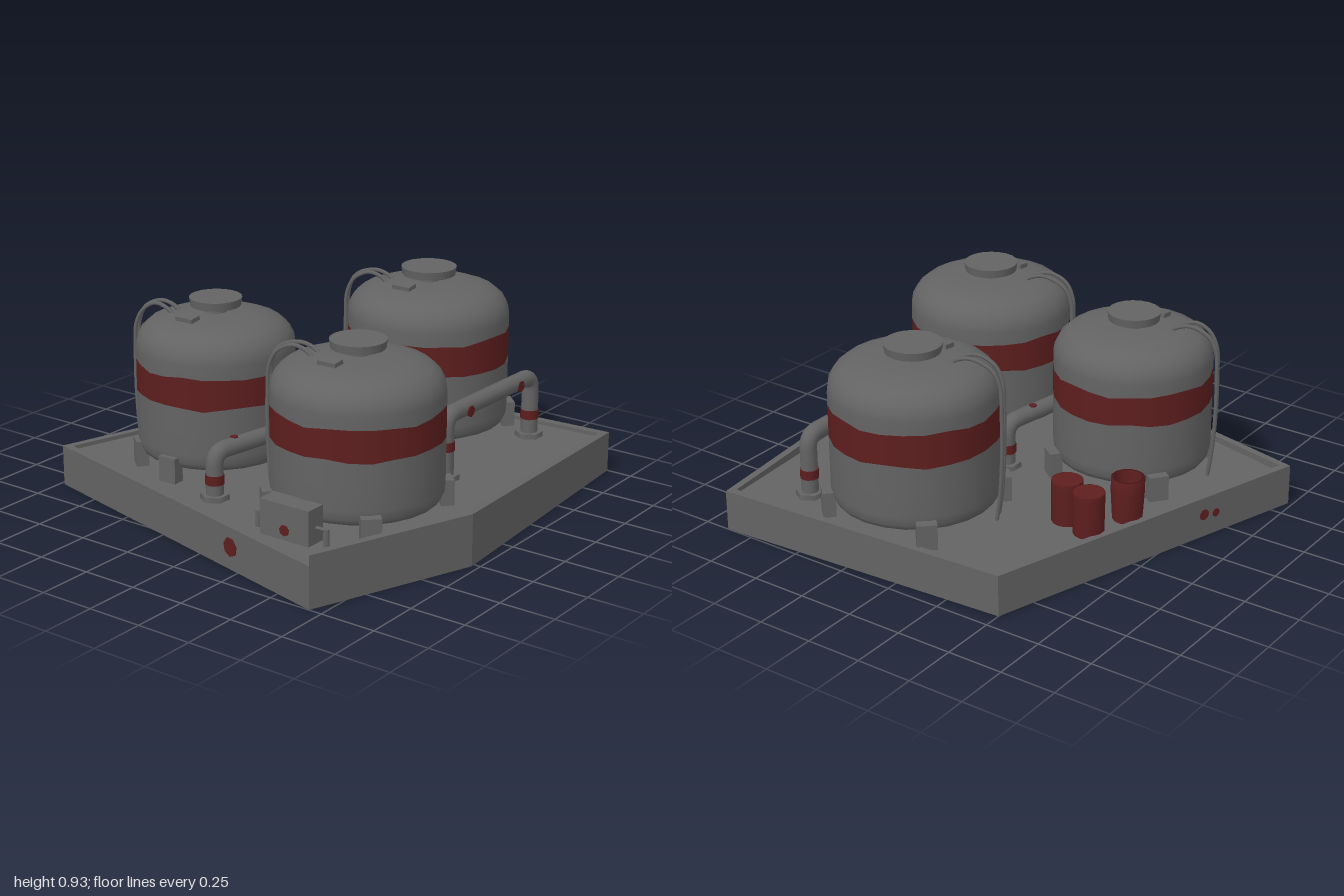
import * as THREE from 'three';

const gray = new THREE.MeshStandardMaterial({ color: 0x636363 });
gray.name = 'steel gray';
const red = new THREE.MeshStandardMaterial({ color: 0x5e1e1e });
red.name = 'rust red';
const redOpen = new THREE.MeshStandardMaterial({ color: 0x5e1e1e, side: THREE.DoubleSide });
redOpen.name = 'rust red open';

const V = (x, y, z) => new THREE.Vector3(x, y, z);

function add(parent, name, geometry, material, x = 0, y = 0, z = 0) {
  const mesh = new THREE.Mesh(geometry, material);
  mesh.name = name;
  mesh.position.set(x, y, z);
  parent.add(mesh);
  return mesh;
}

// Upright prism over a footprint of [x, z] points
function prism(points, y0, y1) {
  const shape = new THREE.Shape(points.map(([x, z]) => new THREE.Vector2(x, -z)));
  const g = new THREE.ExtrudeGeometry(shape, { depth: y1 - y0, bevelEnabled: false });
  return g.rotateX(-Math.PI / 2).translate(0, y0, 0);
}

function spot(parent, x, y, z, r, yaw, pitch = 0) {
  const m = add(parent, 'paintSpot', new THREE.CylinderGeometry(r, r, 0.006, 7).rotateX(Math.PI / 2), red, x, y, z);
  m.rotation.set(pitch, yaw, 0, 'YXZ');
}

// Five-sided hollow platform with separate walls
function platform() {
  const g = new THREE.Group();
  g.name = 'platform';
  const outer = [[-0.5, -0.92], [0.88, -1], [0.97, 0.27], [0.69, 1], [-0.98, 0.6]];
  const inner = outer.map(([x, z]) => [0.1 + (x - 0.1) * 0.962, z * 0.962]);
  const tops = [[0.19, 0.19], [0.19, 0.235], [0.235, 0.235], [0.19, 0.19], [0.19, 0.19]];
  const names = ['backWall', 'leftWall', 'frontLeftWall', 'frontWall', 'rightWall'];
  outer.forEach((a, i) => {
    const j = (i + 1) % 5, b = outer[j];
    const geo = prism([a, b, inner[j], inner[i]], 0.005, 0.19);
    const p = geo.attributes.position;
    for (let k = 0; k < p.count; k++) {
      if (p.getY(k) < 0.1) continue;
      const t = ((p.getX(k) - a[0]) * (b[0] - a[0]) + (p.getZ(k) - a[1]) * (b[1] - a[1])) /
        ((b[0] - a[0]) ** 2 + (b[1] - a[1]) ** 2);
      p.setY(k, THREE.MathUtils.lerp(tops[i][0], tops[i][1], THREE.MathUtils.clamp(t, 0, 1)));
    }
    geo.computeVertexNormals();
    add(g, names[i], geo, gray);
  });
  // The floor stops a little short of the front wall
  const floor = inner.map(([x, z], i) => (i === 4 ? [x + 0.005, z - 0.018] : [x, z]));
  add(g, 'floor', prism(floor, 0.155, 0.172), gray);
  spot(g, 0.205, 0.105, 0.886, 0.042, -0.235);
  spot(g, -0.83, 0.11, 0.124, 0.026, -1.876);
  spot(g, -0.85, 0.1, 0.188, 0.02, -1.876);
  return g;
}

// Tank section turned from [radius, height] points; wavy rings mark the painted edges
function section(points, wavy, phase) {
  const geo = new THREE.LatheGeometry(points.map(([r, y]) => new THREE.Vector2(r, y)), 24);
  const p = geo.attributes.position;
  for (let i = 0; i < p.count; i++) {
    const y = p.getY(i);
    if (!wavy.some((w) => Math.abs(w - y) < 1e-4)) continue;
    const a = Math.round(Math.atan2(p.getZ(i), p.getX(i)) / (Math.PI / 12)) % 24;
    const s = ((a + 24) % 24) * (Math.PI / 12);
    p.setY(i, y + 0.005 * Math.sin(5 * s + phase + y * 20) + 0.004 * Math.sin(9 * s + phase));
  }
  return geo;
}

function tank({ x, z, r, rise, legs, lidR, phase }) {
  const g = new THREE.Group();
  g.name = 'tank';
  g.position.set(x, 0, z);
  const b0 = 0.51 + rise * 0.6, b1 = 0.642 + rise, t = 0.84 + rise;
  add(g, 'tankLower', section([[0, 0.225], [r * 0.87, 0.225], [r * 0.95, 0.238], [r * 0.99, 0.262], [r, 0.3],
    [r, 0.4], [r, b0]], [b0], phase), gray);
  add(g, 'tankBand', section([[r, b0], [r, (b0 + b1) / 2], [r, b1]], [b0, b1], phase), red);
  add(g, 'tankDome', section([[r, b1], [r, t - 0.14], [r * 0.985, t - 0.105], [r * 0.93, t - 0.068],
    [r * 0.83, t - 0.037], [r * 0.66, t - 0.015], [r * 0.4, t - 0.004], [0, t]], [b1], phase), gray);
  add(g, 'hatchNeck', new THREE.CylinderGeometry(0.045, 0.05, 0.04, 12), gray, -0.01, t + 0.008, -0.015);
  add(g, 'hatchLid', new THREE.CylinderGeometry(lidR, lidR * 0.96, 0.036, 20), gray, -0.01, t + 0.046, -0.015);
  const vent = add(g, 'ventBox', new THREE.BoxGeometry(0.09, 0.03, 0.055), gray, -0.03, t - 0.002, 0.15);
  vent.rotation.x = 0.12;
  for (const [lx, lz] of legs) {
    const leg = add(g, 'tankLeg', new THREE.BoxGeometry(0.085, 0.155, 0.055), gray, lx, 0.2075, lz);
    leg.rotation.y = Math.atan2(lx, lz);
  }
  // Pair of thin hoses arching off the dome down the side
  for (const [z0, z1, out] of [[0.05, 0.085, -0.022], [0.1, 0.14, 0.006]]) {
    const e = -r + out;
    const curve = new THREE.CatmullRomCurve3([
      V(-0.15, t - 0.02, z0), V(-0.19, t + 0.008, z0), V(-0.25, t + 0.022, z0 + 0.01),
      V(e + 0.04, t - 0.012, z1 - 0.01), V(e + 0.008, t - 0.08, z1), V(e, t - 0.2, z1),
      V(e, 0.45, z1), V(e + 0.012, 0.28, z1), V(e + 0.03, 0.16, z1),
    ]);
    add(g, 'hose', new THREE.TubeGeometry(curve, 40, 0.009, 6), gray);
  }
  return g;
}

// Bridge pipe: up, across and down, with bases and painted collars
function pipe(a, b, h, collars) {
  const g = new THREE.Group();
  g.name = 'pipe';
  const A = V(a[0], 0, a[1]), B = V(b[0], 0, b[1]);
  const dir = B.clone().sub(A).normalize();
  const at = (p, d, y) => p.clone().addScaledVector(dir, d).setY(y);
  const c = 0.06, path = new THREE.CurvePath();
  path.add(new THREE.LineCurve3(at(A, 0, 0.14), at(A, 0, h - c)));
  path.add(new THREE.QuadraticBezierCurve3(at(A, 0, h - c), at(A, 0, h), at(A, c, h)));
  path.add(new THREE.LineCurve3(at(A, c, h), at(B, -c, h)));
  path.add(new THREE.QuadraticBezierCurve3(at(B, -c, h), at(B, 0, h), at(B, 0, h - c)));
  path.add(new THREE.LineCurve3(at(B, 0, h - c), at(B, 0, 0.14)));
  add(g, 'pipeRun', new THREE.TubeGeometry(path, 64, 0.038, 12), gray);
  [A, B].forEach((p, i) => {
    add(g, 'pipeBase', new THREE.CylinderGeometry(0.062, 0.066, 0.06, 6), gray, p.x, 0.165, p.z);
    add(g, 'pipeCollar', new THREE.CylinderGeometry(0.041, 0.041, 0.042, 12), red, p.x, collars[i], p.z);
  });
  return g;
}

export function createModel() {
  const model = new THREE.Group();
  model.name = 'tankStation';
  model.add(platform());

  // Three storage tanks
  const square = [[0.26, -0.27], [-0.26, -0.27], [-0.26, 0.27], [0.26, 0.27]];
  model.add(tank({ x: 0.155, z: -0.6, r: 0.362, rise: 0.03, legs: square, lidR: 0.124, phase: 0.4 }));
  model.add(tank({ x: -0.37, z: 0.26, r: 0.346, rise: 0, lidR: 0.115, phase: 1.7,
    legs: [[0.22, -0.285], [-0.275, -0.225], [-0.22, 0.255], [0.02, 0.34]] }));
  model.add(tank({ x: 0.466, z: 0.37, r: 0.364, rise: 0, legs: square, lidR: 0.12, phase: 2.9 }));

  // Two bridge pipes with paint spots
  model.add(pipe([0.575, -0.12], [0.585, -0.79], 0.457, [0.325, 0.28]));
  model.add(pipe([0.055, -0.085], [-0.07, 0.645], 0.38, [0.265, 0.262]));
  for (const z of [-0.25, -0.655]) spot(model, 0.618, 0.45, z, 0.026, Math.PI / 2);
  spot(model, 0.022, 0.417, 0.065, 0.018, 0, -Math.PI / 2);
  spot(model, -0.055, 0.417, 0.53, 0.018, 0, -Math.PI / 2);

  // Barrels: two closed, one open
  const barrel = (x, z, open) => {
    const pts = open
      ? [[0.06, 0.135], [0.066, 0.2], [0.072, 0.3], [0.072, 0.365], [0.058, 0.365], [0.056, 0.2]]
      : [[0, 0.135], [0.058, 0.135], [0.066, 0.17], [0.068, 0.34], [0.068, 0.362], [0.066, 0.362], [0, 0.362]];
    add(model, open ? 'openBarrel' : 'barrel',
      new THREE.LatheGeometry(pts.map(([r, y]) => new THREE.Vector2(r, y)), 14), redOpen, x, 0, z);
  };
  barrel(-0.575, -0.385, false);
  barrel(-0.44, -0.345, false);
  barrel(-0.637, -0.185, true);

  // Control box with side rods
  const box = new THREE.Group();
  box.name = 'controlBox';
  box.position.set(0.432, 0, 0.775);
  add(box, 'boxBody', new THREE.BoxGeometry(0.245, 0.185, 0.095), gray, 0, 0.2325, 0);
  spot(box, 0.002, 0.215, 0.049, 0.024, 0);
  for (const s of [-1, 1]) {
    add(box, 'sideRod', new THREE.CylinderGeometry(0.008, 0.008, 0.055, 6).rotateZ(Math.PI / 2), gray, s * 0.145, 0.24, -0.005);
    add(box, 'rodDrop', new THREE.CylinderGeometry(0.012, 0.012, 0.1, 6), gray, s * 0.172, 0.195, -0.005);
  }
  model.add(box);
  return model;
}
